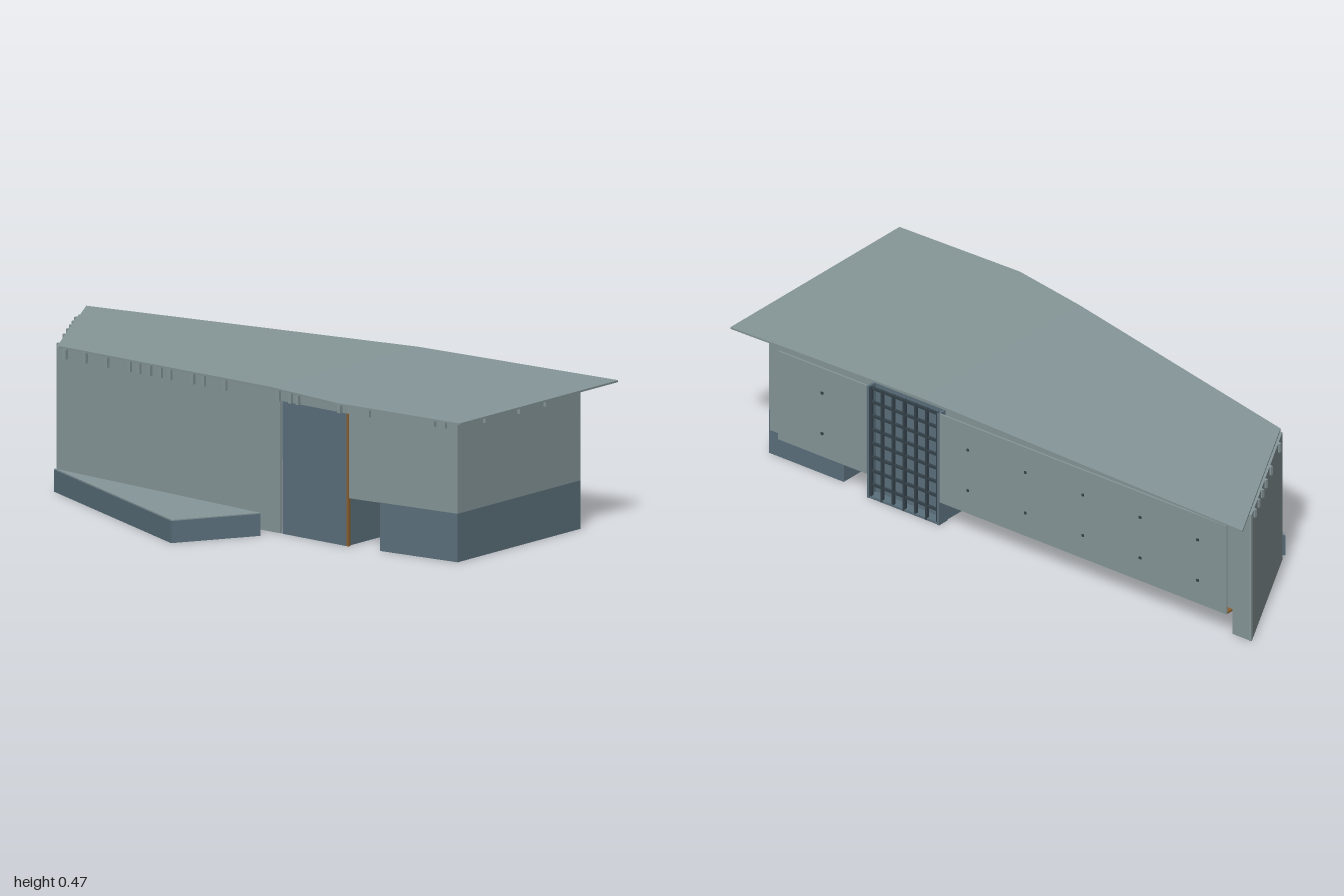
import * as THREE from 'three';

const mat = (name, color) => {
  const m = new THREE.MeshStandardMaterial({ color });
  m.name = name;
  return m;
};

// Roof surface folds along a shallow ridge at x = 0.25
const RIDGE = 0.25, ROOF_T = 0.006;
const roofY = x => (x < RIDGE ? 0.441 + (x + 1) * 0.0192 : 0.465 - (x - RIDGE) * 0.0173);

export function createModel() {
  const grey = mat('grey cladding', 0x869698);
  const blue = mat('slate blue', 0x5b707c);
  const brown = mat('timber brown', 0x8a5f30);
  const dark = mat('dark frame', 0x35424a);
  const model = new THREE.Group();

  const add = (name, geometry, material) => {
    const mesh = new THREE.Mesh(geometry, material);
    mesh.name = name;
    model.add(mesh);
    return mesh;
  };
  const box = (name, x0, x1, y0, y1, z0, z1, m) => add(name,
    new THREE.BoxGeometry(x1 - x0, y1 - y0, z1 - z0)
      .translate((x0 + x1) / 2, (y0 + y1) / 2, (z0 + z1) / 2), m);

  // Thin wall between two plan points; without y1 its top follows the roof
  const wall = (name, [xa, za], [xb, zb], y0, y1, m, t = 0.008) => {
    const dx = xb - xa, dz = zb - za;
    const g = new THREE.BoxGeometry(Math.hypot(dx, dz), 1, t);
    g.rotateY(-Math.atan2(dz, dx)).translate((xa + xb) / 2, 0, (za + zb) / 2);
    const p = g.attributes.position;
    for (let i = 0; i < p.count; i++) {
      p.setY(i, p.getY(i) < 0 ? y0 : y1 ?? roofY(p.getX(i)) - ROOF_T);
    }
    g.computeVertexNormals();
    return add(name, g, m);
  };

  // Horizontal slab from plan points [x, z]
  const slab = (pts, y0, h) => new THREE.ExtrudeGeometry(
    new THREE.Shape(pts.map(([x, z]) => new THREE.Vector2(x, -z))),
    { depth: h, bevelEnabled: false }).rotateX(-Math.PI / 2).translate(0, y0, 0);

  // Roof halves
  const halves = [
    [[-1, -0.505], [-0.69, 0.06], [RIDGE, 0.253], [RIDGE, -0.503]],
    [[RIDGE, -0.503], [RIDGE, 0.253], [0.53, 0.31], [1, 0.31], [1, -0.503]],
  ];
  for (const pts of halves) {
    const g = slab(pts, 0, ROOF_T);
    const p = g.attributes.position;
    for (let i = 0; i < p.count; i++) p.setY(i, p.getY(i) - ROOF_T + roofY(p.getX(i)));
    g.computeVertexNormals();
    add('roof', g, grey);
  }

  // Main hall: open underneath, walls only
  const tip = [-0.95, -0.405], corner = [-0.7, 0.05];
  const towerL = [0.245, 0.185], towerR = [0.517, 0.221];
  wall('angledEndWall', tip, corner, 0, null, grey);
  wall('hallFrontWall', corner, [0.237, 0.184], 0, null, grey);
  wall('wallAboveTower', [0.237, 0.184], towerR, 0.41, null, grey);
  wall('hallBackWall', [-0.88, -0.4], [0.245, -0.4], 0.08, null, grey);
  wall('backEndStrip', [-0.95, -0.4], [-0.88, -0.4], 0, null, grey);
  wall('wallBehindTower', [0.245, -0.4], [0.517, -0.4], 0.385, null, grey);

  // Right wing, raised over the open passage
  wall('wingFrontWall', towerR, [0.926, 0.221], 0.15, null, grey);
  wall('wingSideWall', [0.926, 0.225], [0.926, -0.404], 0.15, null, grey);
  wall('wingBackWall', [0.517, -0.4], [0.926, -0.4], 0.08, null, grey);
  box('wingFloor', 0.517, 0.926, 0.148, 0.156, -0.4, 0.221, grey);

  // Blue base below the wing
  wall('baseFront', [0.638, 0.221], [0.93, 0.221], 0, 0.15, blue);
  wall('baseSide', [0.926, 0.225], [0.926, -0.404], 0, 0.15, blue);
  wall('baseInnerSide', [0.642, 0.221], [0.642, -0.4], 0, 0.148, blue);
  wall('baseBack', [0.638, -0.4], [0.93, -0.4], 0, 0.08, blue);

  // Stair tower with timber edge and rear side fins
  add('stairTower', slab([[0.245, -0.4], [0.245, 0.189], [0.515, 0.226], [0.515, -0.4]], 0, 0.41), blue);
  box('towerTimberEdge', 0.513, 0.521, 0, 0.41, 0.216, 0.2265, brown);
  for (const x of [0.241, 0.515]) box('towerFin', x, x + 0.008, 0, 0.385, -0.435, -0.395, blue);
  box('towerFoot', 0.245, 0.517, 0, 0.008, -0.433, -0.4, blue);

  // Rear window grid
  for (let i = 0; i <= 6; i++) {
    const x = 0.25 + i * 0.0435;
    box('gridUpright', x - 0.004, x + 0.004, 0, 0.385, -0.433, -0.423, dark);
  }
  for (let i = 1; i <= 8; i++) {
    const y = i * 0.0475;
    box('gridRail', 0.245, 0.517, y - 0.004, y + 0.004, -0.431, -0.423, dark);
  }

  // Rear cladding skins with a timber strip below and small fixings
  for (const [x0, x1, n] of [[-0.88, 0.24, 5], [0.525, 0.87, 1]]) {
    box('rearCladding', x0, x1, 0.08, 0.385, -0.434, -0.428, grey);
    box('timberSill', x0, x1, 0.08, 0.086, -0.428, -0.404, brown);
    for (let i = 0; i < n; i++) {
      const x = x0 + (x1 - x0) * (i + 0.5) / n;
      for (const y of [0.16, 0.3]) box('fixing', x - 0.004, x + 0.004, y - 0.004, y + 0.004, -0.437, -0.433, dark);
    }
  }

  // Rafter ends under the eaves
  const rafter = (x, z, w, d) => box('rafterEnd', x - w / 2, x + w / 2, 0.41,
    roofY(x) - ROOF_T, z - d / 2, z + d / 2, grey);
  const frontX = [-0.66, -0.575, -0.485, -0.39, -0.35, -0.305, -0.26, -0.22, -0.125, -0.08,
    0.01, 0.235, 0.285, 0.315, 0.49, 0.6, 0.845, 0.885];
  for (const x of frontX) rafter(x, x > 0.517 ? 0.228 : 0.051 + (x + 0.7) * 0.1415 + 0.008, 0.01, 0.016);
  for (const x of [-0.93, -0.9, -0.87, -0.84, -0.8, -0.73]) rafter(x, -0.405 + (x + 0.95) * 1.82, 0.024, 0.01);
  for (const z of [0.09, -0.085, -0.22]) rafter(0.932, z, 0.016, 0.01);
  for (let x = -0.86; x < 0.92; x += 0.115) rafter(x, -0.415, 0.012, 0.03);

  // Triangular terrace: top slab on a thin blue skirt
  const deck = [[-0.69, 0.08], [0.057, 0.5], [0.208, 0.253]];
  add('terraceTop', slab(deck, 0.066, 0.005), grey);
  deck.forEach((p, i) => wall('terraceSkirt', p, deck[(i + 1) % 3], 0, 0.068, blue, 0.006));

  return model;
}
